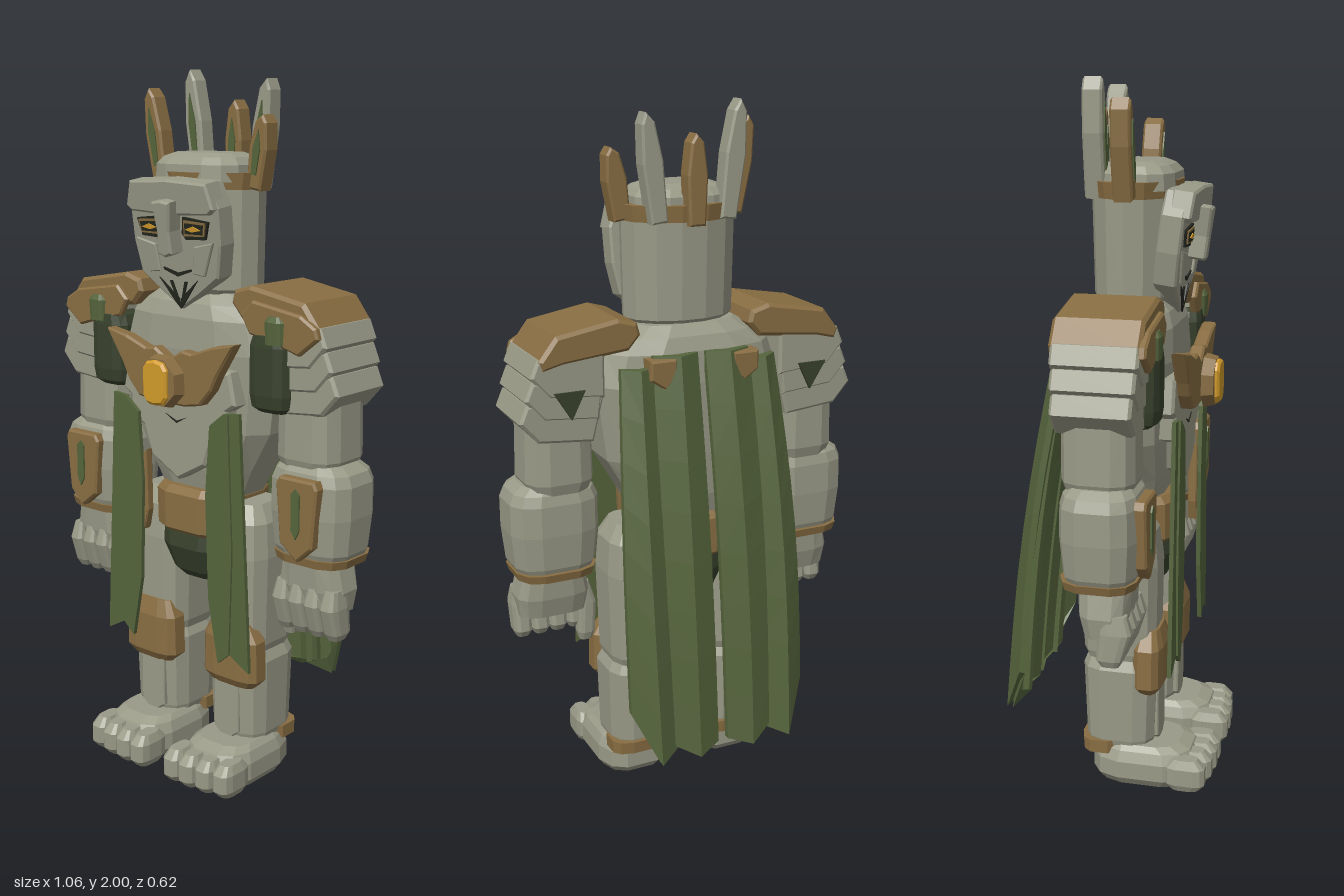
import * as THREE from 'three';

const paint = (name, color, side = THREE.FrontSide) => {
  const m = new THREE.MeshStandardMaterial({ color, side, flatShading: true });
  m.name = name;
  return m;
};

// Closed solid skinned over rings of [x, y, z], listed from bottom to top
function skin(rings) {
  const pos = [], n = rings[0].length;
  const mid = (r) => [0, 1, 2].map((k) => r.reduce((s, p) => s + p[k], 0) / n);
  const top = rings[rings.length - 1], bot = rings[0], ct = mid(top), cb = mid(bot);
  for (let j = 0; j < n; j++) {
    const q = (j + 1) % n;
    for (let i = 0; i < rings.length - 1; i++) {
      const a = rings[i][j], b = rings[i][q], c = rings[i + 1][q], d = rings[i + 1][j];
      pos.push(...a, ...d, ...c, ...a, ...c, ...b);
    }
    pos.push(...cb, ...bot[j], ...bot[q], ...ct, ...top[q], ...top[j]);
  }
  const g = new THREE.BufferGeometry();
  g.setAttribute('position', new THREE.Float32BufferAttribute(pos, 3));
  g.computeVertexNormals();
  return g;
}

// Rounded column; each level is [y, rx, rz], with optional centre shift
const SOFT = [[1, 0.45], [0.82, 0.82], [0.45, 1], [-0.45, 1], [-0.82, 0.82], [-1, 0.45],
  [-1, -0.45], [-0.82, -0.82], [-0.45, -1], [0.45, -1], [0.82, -0.82], [1, -0.45]];
const ROUND = Array.from({ length: 14 }, (_, i) => [Math.cos(i * Math.PI / 7), Math.sin(i * Math.PI / 7)]);
const loft = (x, z, levels, shape = SOFT) => skin(levels.map(([y, rx, rz, dx = 0, dz = 0]) =>
  shape.map(([a, b]) => [x + dx + a * rx, y, z + dz + b * rz])));

// Bevelled plate cut from an outline, between two depths
function plate(pts, z0, z1, b = 0.006) {
  const g = new THREE.ExtrudeGeometry(new THREE.Shape(pts.map((p) => new THREE.Vector2(...p))),
    { depth: z1 - z0 - 2 * b, bevelEnabled: b > 0, bevelSize: b, bevelThickness: b, bevelOffset: -b, bevelSegments: 1 });
  return g.translate(0, 0, z0 + b);
}
const sym = (half) => [...half, ...half.slice().reverse().filter((p) => p[0] !== 0).map(([x, y]) => [-x, y])];

function flipX(geo) {
  const p = geo.attributes.position, out = [];
  for (let i = 0; i < p.count; i += 3)
    for (const k of [i, i + 2, i + 1]) out.push(-p.getX(k), p.getY(k), p.getZ(k));
  const r = new THREE.BufferGeometry();
  r.setAttribute('position', new THREE.Float32BufferAttribute(out, 3));
  r.computeVertexNormals();
  return r;
}

export function createModel() {
  const root = new THREE.Group();
  root.name = 'stoneGuardian';
  const stone = paint('stone', 0x9a9a88), bronze = paint('bronze', 0x886d42);
  const green = paint('greenCloth', 0x55643c, THREE.DoubleSide), dark = paint('darkGreen', 0x38412c);
  const gold = paint('gold', 0xd09a2a), black = paint('crease', 0x23251e);
  const add = (name, geo, mat) => {
    const m = new THREE.Mesh(geo, mat);
    m.name = name;
    root.add(m);
  };
  const pair = (name, geo, mat) => {
    add(name + 'Left', geo, mat);
    add(name + 'Right', flipX(geo), mat);
  };

  // Torso, neck and hips
  add('torso', loft(0, 0.02, [[0.8, 0.13, 0.1], [0.9, 0.18, 0.125], [1.02, 0.25, 0.135], [1.24, 0.28, 0.145],
    [1.33, 0.25, 0.14], [1.37, 0.2, 0.125], [1.4, 0.15, 0.1]]), stone);
  add('pelvis', loft(0, 0.03, [[0.56, 0.075, 0.08], [0.585, 0.095, 0.105], [0.66, 0.118, 0.132], [0.74, 0.12, 0.122]]), dark);
  add('belt', loft(0, 0.03, [[0.7, 0.125, 0.122], [0.715, 0.138, 0.138], [0.82, 0.142, 0.138], [0.84, 0.13, 0.12]]), bronze);

  // Chest armour
  add('chestPlate', plate(sym([[0, 0.87], [0.1, 0.925], [0.13, 1.01], [0.18, 1.03], [0.18, 1.09], [0.21, 1.11], [0.19, 1.2], [0, 1.22]]), 0.12, 0.185, 0.008), stone);
  add('chestWings', plate(sym([[0, 1.095], [0.06, 1.095], [0.115, 1.105], [0.155, 1.15], [0.175, 1.19], [0.235, 1.285], [0.16, 1.272], [0.085, 1.245], [0.05, 1.25], [0, 1.22]]), 0.18, 0.222), bronze);
  add('gemSetting', new THREE.CylinderGeometry(0.07, 0.078, 0.034, 8).rotateX(Math.PI / 2).rotateZ(Math.PI / 8).translate(0, 1.163, 0.25), bronze);
  add('gem', plate(sym([[0, 1.1], [0.03, 1.105], [0.044, 1.125], [0.044, 1.2], [0.03, 1.22], [0, 1.226]]), 0.25, 0.28, 0.007), gold);
  pair('bellyCrease', plate([[0, 1.035], [0.04, 1.057], [0, 1.041]], 0.183, 0.188, 0), black);

  // Head, crown band and cap
  add('head', loft(0, 0.033, [[1.37, 0.12, 0.085], [1.41, 0.163, 0.115], [1.69, 0.168, 0.122]], ROUND), stone);
  add('crownBand', loft(0, 0.033, [[1.68, 0.17, 0.125], [1.725, 0.178, 0.13]], ROUND), bronze);
  add('skullCap', loft(0, 0.042, [[1.7, 0.145, 0.112], [1.745, 0.143, 0.11], [1.765, 0.125, 0.092], [1.776, 0.095, 0.065]]), stone);

  // Crown spikes, each leaning outward, with a narrow inlay
  const spike = (name, x, z, y0, y1, lean, mat) => {
    const h = y1 - y0;
    const place = (g) => g.rotateZ(-lean).translate(x, y0, z);
    add(name, place(plate([[-0.024, 0], [0.024, 0], [0.03, h * 0.55], [0.02, h * 0.9], [0.004, h], [-0.018, h * 0.9], [-0.03, h * 0.55]], -0.028, 0.028)), mat);
    add(name + 'Inlay', place(plate([[-0.008, h * 0.2], [0.008, h * 0.2], [0.012, h * 0.55], [0, h * 0.8], [-0.012, h * 0.55]], 0.026, 0.032, 0)), green);
  };
  spike('crownSpikeBack', 0, -0.08, 1.67, 1.915, 0, bronze);
  spike('crownSpikeStoneRight', -0.105, -0.055, 1.68, 2.0, -0.12, stone);
  spike('crownSpikeStoneLeft', 0.1, -0.055, 1.68, 1.975, 0.12, stone);
  spike('crownSpikeSideRight', -0.17, 0.038, 1.68, 1.95, -0.17, bronze);
  spike('crownSpikeSideLeft', 0.17, 0.038, 1.68, 1.88, 0.14, bronze);

  // Face mask, tilted forward at the brow
  const tilt = (g) => g.translate(0, -1.55, 0).rotateX(0.13).translate(0, 1.55, 0);
  add('mask', tilt(plate(sym([[0, 1.375], [0.07, 1.42], [0.14, 1.47], [0.158, 1.56], [0.16, 1.66], [0.135, 1.725], [0, 1.73]]), 0.12, 0.185)), stone);
  add('brow', tilt(plate(sym([[0, 1.655], [0.03, 1.64], [0.14, 1.645], [0.158, 1.66], [0.138, 1.728], [0, 1.735]]), 0.14, 0.203)), stone);
  add('nose', tilt(plate(sym([[0, 1.53], [0.025, 1.54], [0.022, 1.6], [0.033, 1.68], [0, 1.685]]), 0.18, 0.235)), stone);
  pair('cheek', tilt(plate([[0.06, 1.48], [0.1, 1.475], [0.14, 1.57], [0.07, 1.555]], 0.17, 0.193, 0.003)), stone);
  pair('eyeSocket', tilt(plate([[0.032, 1.59], [0.045, 1.573], [0.115, 1.577], [0.13, 1.625], [0.04, 1.635]], 0.184, 0.192, 0)), black);
  pair('eyeRim', tilt(plate([[0.042, 1.584], [0.114, 1.586], [0.122, 1.622], [0.045, 1.627]], 0.191, 0.196, 0)), bronze);
  pair('eyeHollow', tilt(plate([[0.048, 1.591], [0.11, 1.591], [0.115, 1.617], [0.05, 1.62]], 0.195, 0.198, 0)), black);
  pair('eye', tilt(plate([[0.053, 1.604], [0.075, 1.597], [0.108, 1.603], [0.08, 1.613]], 0.197, 0.201, 0)), gold);
  pair('mouth', tilt(plate([[0, 1.468], [0.05, 1.485], [0.05, 1.492], [0, 1.479]], 0.184, 0.189, 0)), black);
  pair('chinGroove', tilt(plate([[0, 1.378], [0.014, 1.392], [0.07, 1.462], [0.003, 1.407]], 0.184, 0.189, 0)), black);
  pair('beardGroove', tilt(plate([[0.002, 1.395], [0.012, 1.405], [0.032, 1.455], [0.022, 1.455]], 0.184, 0.189, 0)), black);

  // Shoulders: thin bronze cap with a deeper front trim, over overlapping stone layers
  pair('shoulderCap', plate([[0.165, 1.385], [0.2, 1.345], [0.39, 1.325], [0.45, 1.31], [0.46, 1.34], [0.41, 1.405], [0.23, 1.436], [0.175, 1.42]], -0.095, 0.15, 0.01), bronze);
  pair('shoulderTrim', plate([[0.21, 1.36], [0.24, 1.31], [0.33, 1.29], [0.405, 1.268], [0.468, 1.318], [0.46, 1.345], [0.41, 1.375], [0.25, 1.4]], 0.14, 0.165), bronze);
  for (let i = 0; i < 3; i++) {
    const o = i * 0.016, y = -i * 0.062;
    pair('shoulderLayer' + (i + 1), plate([[0.27 + o, 1.22 + y], [0.43 + o, 1.235 + y], [0.483 + o, 1.295 + y], [0.462 + o, 1.345 + y], [0.27, 1.35 + y]], -0.088 + i * 0.004, 0.148 - i * 0.006, 0.008), stone);
  }
  pair('shoulderMark', plate([[0.33, 1.25], [0.37, 1.17], [0.42, 1.25]], -0.094, -0.085, 0), dark);

  // Pouches and rolled knobs in front of the shoulders
  pair('pouch', loft(0.297, 0.115, [[1.1, 0.045, 0.03], [1.115, 0.062, 0.05], [1.15, 0.067, 0.055], [1.28, 0.067, 0.055], [1.31, 0.055, 0.052], [1.32, 0.04, 0.04]]), dark);
  pair('pouchKnob', loft(0.328, 0.155, [[1.29, 0.03, 0.02], [1.35, 0.032, 0.022], [1.365, 0.02, 0.014]]), green);

  // Arms, bracers and hands
  pair('upperArm', loft(0.385, 0.03, [[0.93, 0.08, 0.085], [0.98, 0.1, 0.1], [1.2, 0.095, 0.1], [1.25, 0.07, 0.08]]), stone);
  pair('forearm', loft(0.4, 0.038, [[0.69, 0.1, 0.085], [0.73, 0.12, 0.1], [0.83, 0.13, 0.108], [0.92, 0.13, 0.106], [0.95, 0.118, 0.098], [0.97, 0.09, 0.08]]), stone);
  pair('wristBand', loft(0.4, 0.035, [[0.692, 0.113, 0.1], [0.716, 0.12, 0.105]]), bronze);
  pair('bracer', plate([[0.41, 0.71], [0.46, 0.755], [0.475, 0.92], [0.465, 0.94], [0.35, 0.94], [0.338, 0.92], [0.352, 0.755]], 0.13, 0.168), bronze);
  pair('bracerInset', plate([[0.41, 0.775], [0.422, 0.8], [0.422, 0.9], [0.408, 0.915], [0.395, 0.9], [0.395, 0.8]], 0.166, 0.173, 0), green);
  pair('palm', loft(0.4, 0.05, [[0.56, 0.1, 0.055], [0.62, 0.108, 0.07], [0.7, 0.09, 0.075]]), stone);
  for (let i = 0; i < 4; i++)
    pair('finger' + (i + 1), loft(0.322 + i * 0.054, 0.075, [[0.485, 0.018, 0.025], [0.505, 0.027, 0.037], [0.58, 0.028, 0.045, 0, 0.015], [0.63, 0.02, 0.035, 0, 0.01]]), stone);
  pair('thumb', loft(0.3, 0.04, [[0.45, 0.018, 0.018], [0.475, 0.026, 0.026, -0.002], [0.57, 0.026, 0.03, -0.006], [0.64, 0.03, 0.03, 0.02]]), stone);

  // Legs, knee guards and feet
  pair('thigh', loft(0.148, 0.03, [[0.36, 0.08, 0.09], [0.4, 0.09, 0.106], [0.66, 0.098, 0.11], [0.76, 0.09, 0.1], [0.81, 0.06, 0.07]]), stone);
  pair('shin', loft(0.15, 0.032, [[0.08, 0.08, 0.085], [0.13, 0.092, 0.1], [0.35, 0.097, 0.108], [0.385, 0.08, 0.095]]), stone);
  pair('shinRidge', plate([[0.145, 0.1], [0.19, 0.135], [0.19, 0.29], [0.1, 0.29], [0.1, 0.135]], 0.11, 0.144, 0.004), stone);
  pair('kneeGuard', loft(0.155, 0.115, [[0.28, 0.075, 0.03], [0.305, 0.098, 0.045], [0.42, 0.095, 0.045], [0.47, 0.065, 0.03, -0.005]]), bronze);
  pair('ankleBand', loft(0.15, -0.02, [[0.09, 0.1, 0.057], [0.128, 0.1, 0.06]]), bronze);
  pair('foot', loft(0.152, 0.105, [[0, 0.095, 0.13], [0.025, 0.112, 0.15], [0.075, 0.112, 0.15], [0.105, 0.1, 0.135], [0.12, 0.085, 0.11, 0, -0.01]]), stone);
  for (let i = 0; i < 4; i++)
    pair('toe' + (i + 1), loft(0.067 + i * 0.058, [0.25, 0.25, 0.245, 0.235][i], [[0.005, 0.022, 0.04], [0.025, 0.031, 0.058], [0.075, 0.031, 0.058], [0.1, 0.02, 0.035]]), stone);

  // Hanging front sashes in two overlapping folds, with a bronze edge
  pair('sashOuter', plate([[0.235, 1.095], [0.185, 1.09], [0.17, 0.7], [0.2, 0.4], [0.272, 0.36], [0.252, 0.75]], 0.185, 0.197, 0), green);
  pair('sashInner', plate([[0.2, 1.09], [0.185, 1.09], [0.135, 1.05], [0.12, 0.85], [0.13, 0.55], [0.165, 0.365], [0.205, 0.4], [0.215, 0.7]], 0.19, 0.203, 0), green);
  pair('sashEdge', plate([[0.135, 0.92], [0.115, 0.94], [0.11, 0.76], [0.125, 0.7]], 0.165, 0.192, 0.004), bronze);

  // Cape: two ridged panels on each side, sweeping back toward the hem
  const panel = (top, hem, yTop, yHem) => {
    const rings = [];
    for (let i = 0; i <= 8; i++) {
      const t = 1 - i / 8, swell = Math.sin(Math.PI * t);
      const line = top.map(([x, z], k) => [
        THREE.MathUtils.lerp(x, hem[k][0], t) * (1 + 0.05 * swell),
        THREE.MathUtils.lerp(yTop, yHem[k], t),
        THREE.MathUtils.lerp(z, hem[k][1], t) - 0.02 * swell]);
      rings.push([...line.map(([x, y, z]) => [x, y, z + 0.018]).reverse(), ...line]);
    }
    return skin(rings);
  };
  pair('capeInner', panel([[0.012, -0.13], [0.075, -0.158], [0.145, -0.128]], [[0.015, -0.285], [0.085, -0.315], [0.18, -0.27]], 1.33, [0.2, 0.18, 0.23]), green);
  pair('capeOuter', panel([[0.13, -0.125], [0.19, -0.15], [0.235, -0.115]], [[0.135, -0.275], [0.205, -0.313], [0.274, -0.25]], 1.3, [0.21, 0.18, 0.33]), green);
  pair('capeClasp', plate([[0.085, 1.27], [0.12, 1.24], [0.165, 1.27], [0.165, 1.325], [0.085, 1.325]], -0.158, -0.1), bronze);

  return root;
}
